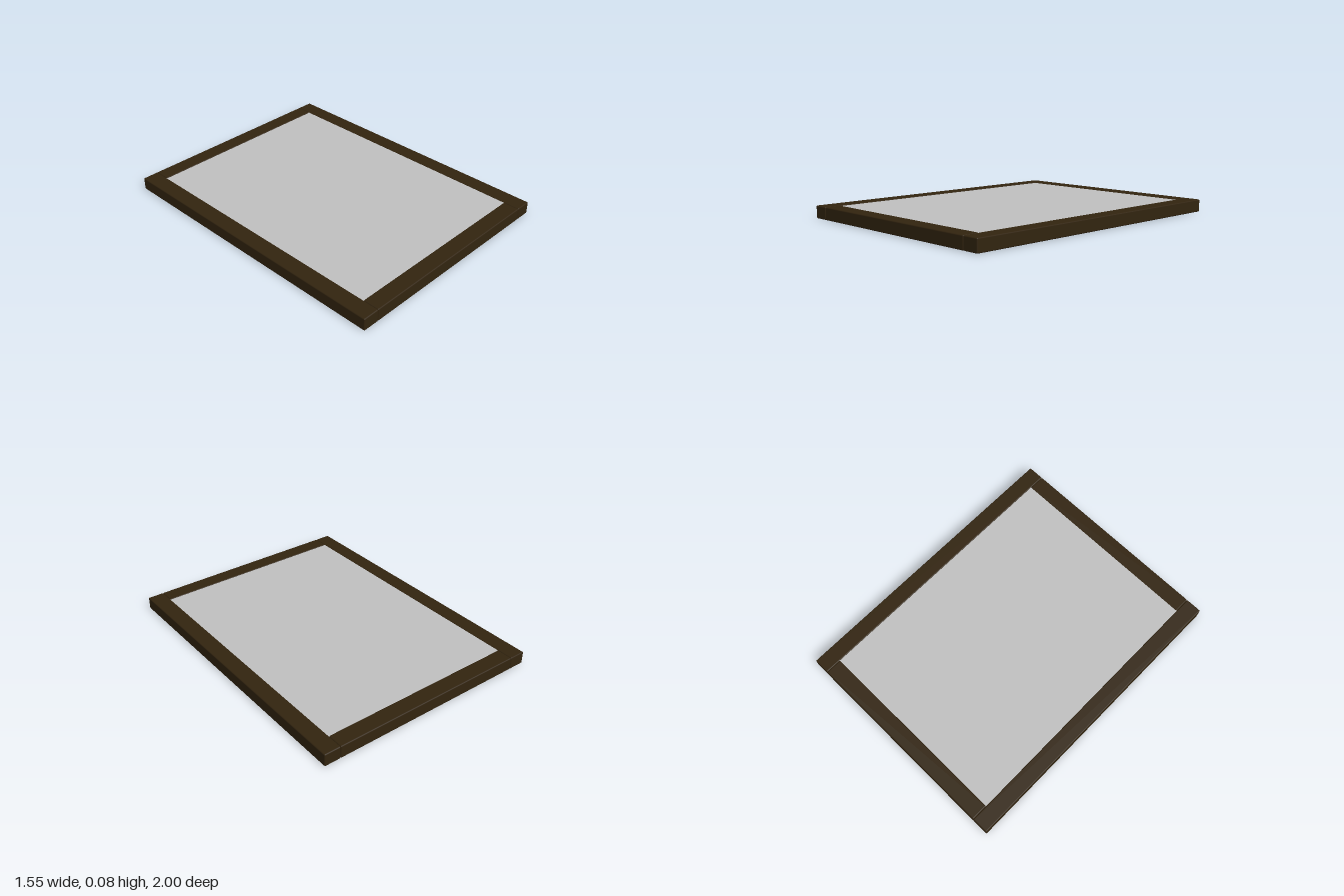
import * as THREE from 'three';
import { RoundedBoxGeometry } from 'three/addons/geometries/RoundedBoxGeometry.js';

export function createModel() {
  const model = new THREE.Group();
  model.name = 'framedPanel';

  const darkWood = new THREE.MeshStandardMaterial({ color: 0x32240f });
  darkWood.name = 'dark wood';
  const paleGrey = new THREE.MeshStandardMaterial({ color: 0xc0c0c0 });
  paleGrey.name = 'pale grey';

  const width = 1.55, length = 2, height = 0.083, bar = 0.11, bevel = 0.007;
  const innerWidth = width - 2 * bar;
  const innerLength = length - 2 * bar;

  // One softly bevelled frame bar lying on the ground
  function addBar(name, w, d, x, z) {
    const mesh = new THREE.Mesh(new RoundedBoxGeometry(w, height, d, 2, bevel), darkWood);
    mesh.name = name;
    mesh.position.set(x, height / 2, z);
    model.add(mesh);
  }

  // Full-length side bars, with the end bars butted between them
  for (const s of [1, -1]) {
    addBar(s > 0 ? 'leftBar' : 'rightBar', bar, length, s * (width - bar) / 2, 0);
    addBar(s > 0 ? 'frontBar' : 'backBar', innerWidth, bar, 0, s * (length - bar) / 2);
  }

  // Thin panel just below the top of the frame, leaving the underside hollow
  const panel = new THREE.Mesh(
    new THREE.BoxGeometry(innerWidth + 0.01, 0.008, innerLength + 0.01), paleGrey);
  panel.name = 'panel';
  panel.position.y = 0.075;
  model.add(panel);

  return model;
}
